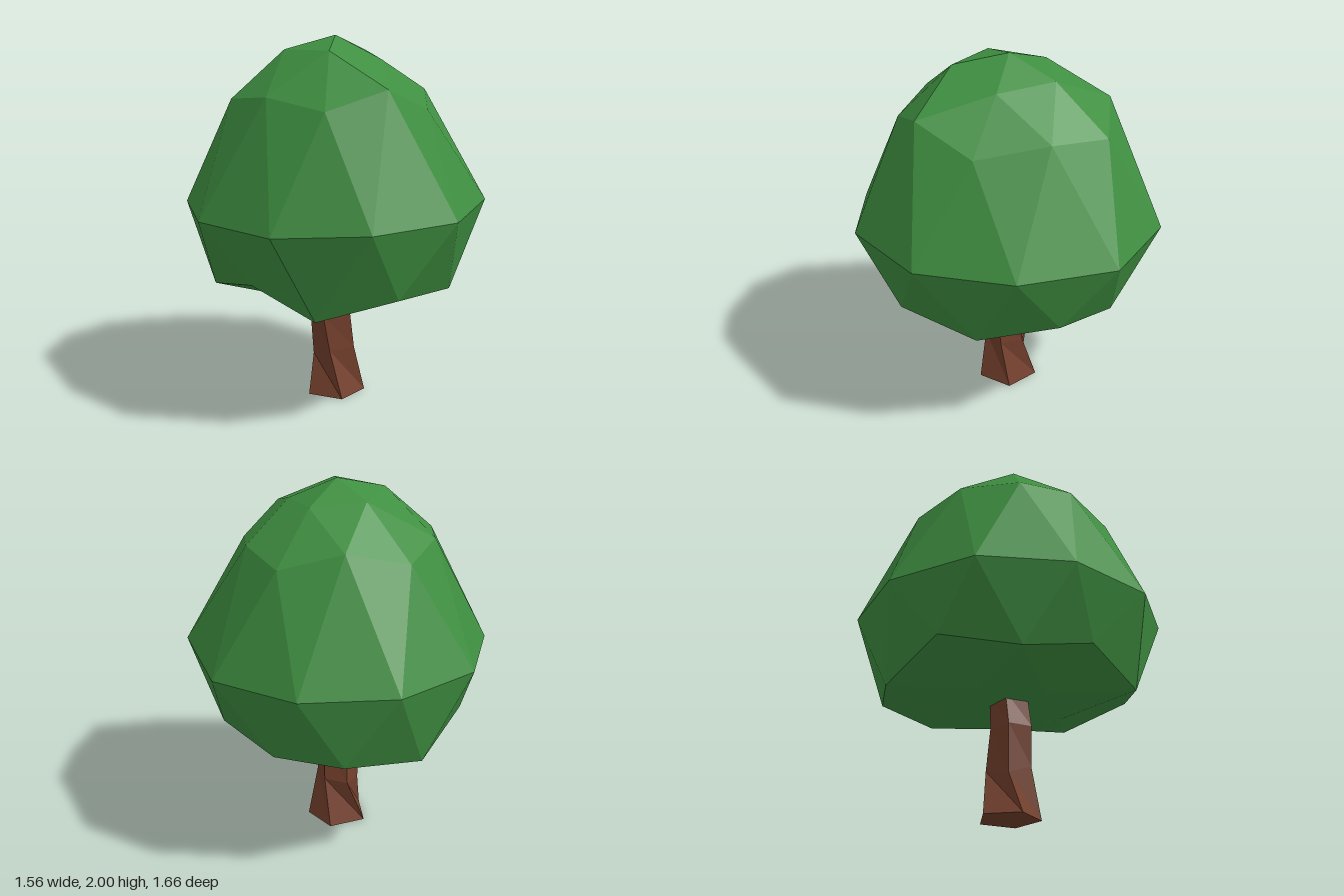
import * as THREE from 'three';

// Flat-shaded mesh from a list of corner triples
function facetedMesh(name, triangles, color) {
  const geometry = new THREE.BufferGeometry();
  geometry.setAttribute('position', new THREE.Float32BufferAttribute(triangles.flat(2), 3));
  geometry.computeVertexNormals();
  const mesh = new THREE.Mesh(geometry, new THREE.MeshStandardMaterial({ color, flatShading: true }));
  mesh.name = name;
  return mesh;
}

// Canopy: an uneven subdivided icosahedron, ring by ring from crown to underside
function createCanopy() {
  const crown = [0, 2, 0];
  const crownRing = [[0.26, 1.88, 0], [0.08, 1.94, 0.28], [-0.22, 1.93, 0.17], [-0.19, 1.92, -0.15], [0.08, 1.9, -0.26]];
  const upper = [
    [0.53, 1.64, 0.05], [0.43, 1.77, 0.37], [0.17, 1.67, 0.55], [-0.17, 1.72, 0.5], [-0.45, 1.68, 0.34],
    [-0.52, 1.71, 0.01], [-0.45, 1.66, -0.31], [-0.16, 1.75, -0.5], [0.17, 1.66, -0.55], [0.4, 1.7, -0.31],
  ];
  const widest = [
    [0.78, 1.12, 0.3], [0.48, 1.12, 0.71], [0, 1.09, 0.83], [-0.48, 1.09, 0.67], [-0.78, 1.09, 0.27],
    [-0.78, 1.09, -0.24], [-0.48, 1.1, -0.67], [0, 1.1, -0.83], [0.48, 1.1, -0.68], [0.78, 1.13, -0.23],
  ];
  const lower = [
    [0.66, 0.68, 0.01], [0.53, 0.73, 0.46], [0.17, 0.64, 0.68], [-0.21, 0.77, 0.62], [-0.54, 0.68, 0.4],
    [-0.69, 0.77, 0], [-0.55, 0.63, -0.4], [-0.2, 0.69, -0.68], [0.19, 0.67, -0.61], [0.53, 0.74, -0.4],
  ];
  const baseRing = [[0.26, 0.6, 0.19], [-0.09, 0.61, 0.28], [-0.3, 0.62, 0], [-0.09, 0.61, -0.31], [0.25, 0.61, -0.2]];
  const base = [0, 0.62, 0];

  const triangles = [];
  const at = (ring, i) => ring[(i + ring.length) % ring.length];

  // Cap: pole, inner ring of five, outer ring of ten, turned over for the underside
  function addCap(pole, inner, outer, shift, flip) {
    const add = (a, b, c) => triangles.push(flip ? [a, b, c] : [a, c, b]);
    for (let j = 0; j < 5; j++) {
      const k = 2 * j + shift;
      add(pole, at(inner, j), at(inner, j + 1));
      add(at(inner, j), at(outer, k), at(outer, k + 1));
      add(at(inner, j), at(outer, k + 1), at(inner, j + 1));
      add(at(inner, j + 1), at(outer, k + 1), at(outer, k + 2));
    }
  }

  // Zigzag band between a ring of ten and the widest ring
  function addBand(ring, flip) {
    const add = (a, b, c) => triangles.push(flip ? [a, b, c] : [a, c, b]);
    for (let k = 0; k < 10; k++) {
      add(at(ring, k), at(widest, k), at(ring, k + 1));
      add(at(ring, k), at(widest, k - 1), at(widest, k));
    }
  }

  addCap(crown, crownRing, upper, 0, false);
  addBand(upper, true);
  addBand(lower, false);
  addCap(base, baseRing, lower, 1, true);

  // The bands and caps above run in opposite directions round the ring
  const centre = new THREE.Vector3(0, 1.2, 0);
  for (const t of triangles) {
    const [a, b, c] = t.map((p) => new THREE.Vector3(...p));
    const normal = b.clone().sub(a).cross(c.clone().sub(a));
    if (normal.dot(a.add(b).add(c).divideScalar(3).sub(centre)) < 0) t.reverse();
  }
  return facetedMesh('canopy', triangles, 0x3f8f41);
}

// Trunk: a flared, twisting five-sided stem
function createTrunk() {
  const rings = [
    [[0.1, 0, 0.15], [0.16, 0, -0.04], [0, 0, -0.16], [-0.17, 0, -0.04], [-0.1, 0, 0.15]],
    [[0.02, 0.27, 0.135], [0.12, 0.27, 0.02], [0.05, 0.27, -0.09], [-0.08, 0.25, -0.08], [-0.105, 0.22, 0.07]],
    [[-0.01, 0.48, 0.155], [0.105, 0.48, 0.045], [0.06, 0.48, -0.065], [-0.07, 0.48, -0.06], [-0.12, 0.48, 0.08]],
    [[-0.03, 0.66, 0.14], [0.11, 0.66, 0.06], [0.07, 0.66, -0.08], [-0.06, 0.66, -0.07], [-0.12, 0.66, 0.06]],
  ];
  const triangles = [];
  for (let i = 0; i < 5; i++) {
    const n = (i + 1) % 5;
    for (let r = 0; r < 3; r++) {
      const [low, high] = [rings[r], rings[r + 1]];
      triangles.push([low[i], low[n], high[i]], [low[n], high[n], high[i]]);
    }
    triangles.push([[0, 0, 0], rings[0][n], rings[0][i]]);
    triangles.push([[0, 0.66, 0.02], rings[3][i], rings[3][n]]);
  }
  return facetedMesh('trunk', triangles, 0x75402d);
}

export function createModel() {
  const tree = new THREE.Group();
  tree.name = 'tree';
  tree.add(createCanopy(), createTrunk());
  return tree;
}
